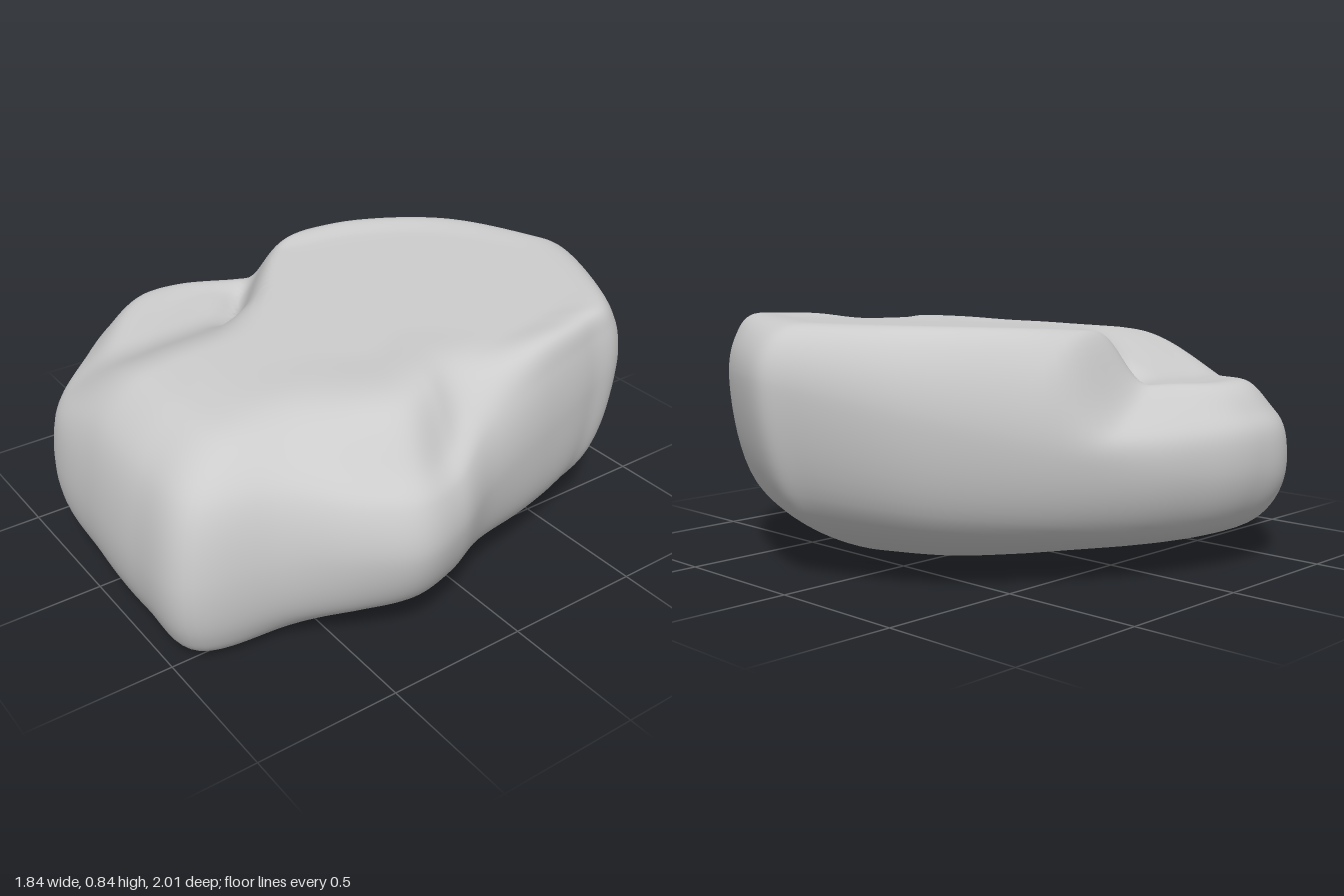
import * as THREE from 'three';
import { mergeVertices } from 'three/addons/utils/BufferGeometryUtils.js';

// Ribs around the boulder, back -> left -> front -> right:
// [x, z, y] of the widest point, [scale, y] of the top edge, [scale, y] of the bottom edge
const RIBS = [
  [0.18, -1.0, 0.64, 0.89, 0.82, 0.6, 0.05],
  [-0.02, -0.985, 0.62, 0.89, 0.82, 0.59, 0.05],
  [-0.36, -0.83, 0.55, 0.87, 0.82, 0.58, 0.05],
  [-0.62, -0.54, 0.46, 0.83, 0.81, 0.57, 0.05],
  [-0.8, -0.23, 0.38, 0.74, 0.79, 0.56, 0.05],
  [-0.88, 0.01, 0.33, 0.79, 0.77, 0.58, 0.05],
  [-0.92, 0.24, 0.31, 0.87, 0.76, 0.6, 0.05],
  [-0.89, 0.45, 0.28, 0.87, 0.76, 0.62, 0.05],
  [-0.7, 0.68, 0.26, 0.85, 0.74, 0.72, 0.03],
  [-0.42, 0.93, 0.27, 0.81, 0.71, 0.86, 0.01],
  [-0.05, 0.98, 0.3, 0.8, 0.7, 0.9, 0],
  [0.28, 0.99, 0.3, 0.8, 0.7, 0.91, 0],
  [0.55, 0.96, 0.3, 0.8, 0.69, 0.91, 0],
  [0.67, 0.69, 0.35, 0.84, 0.67, 0.83, 0.01],
  [0.82, 0.49, 0.36, 0.88, 0.62, 0.7, 0.03],
  [0.91, 0.32, 0.36, 0.88, 0.61, 0.62, 0.05],
  [0.88, 0.14, 0.38, 0.87, 0.61, 0.62, 0.05],
  [0.79, -0.06, 0.42, 0.86, 0.7, 0.68, 0.05],
  [0.73, -0.34, 0.48, 0.92, 0.79, 0.75, 0.05],
  [0.68, -0.58, 0.54, 0.94, 0.81, 0.73, 0.05],
  [0.61, -0.77, 0.6, 0.92, 0.82, 0.66, 0.05],
];
const SUB = 8, ROWS = 80;

// Smooth closed interpolation between ribs
function ribAt(s) {
  const n = RIBS.length, i = Math.floor(s), t = s - i;
  const [a, b, c, d] = [-1, 0, 1, 2].map((k) => RIBS[(i + k + n) % n]);
  return b.map((_, k) => b[k] + 0.5 * t * (c[k] - a[k]
    + t * (2 * a[k] - 5 * b[k] + 4 * c[k] - d[k] + t * (3 * (b[k] - c[k]) + d[k] - a[k]))));
}

const topPlane = (x, z) => 0.775 - 0.06 * z;

// Vertical section from the underside centre to the top centre
function section([x, z, y, ts, ty, bs, by]) {
  const at = (s, h) => new THREE.Vector3(x * s, h, z * s);
  const inner = ts * 0.8;
  return new THREE.CatmullRomCurve3([
    at(0, 0.02),
    at(bs * 0.6, by * 0.7 + 0.006),
    at(bs, by),
    at(bs + (1 - bs) * 0.74, by + (y - by) * 0.32),
    at(1, y),
    at(ts + (1 - ts) * 0.68, ty - (ty - y) * 0.32),
    at(ts, ty),
    at(inner, topPlane(x * inner, z * inner)),
    at(inner * 0.5, topPlane(x * inner * 0.5, z * inner * 0.5)),
    at(0, topPlane(0, 0)),
  ], false, 'centripetal');
}

// Sunken front-left lobe, bounded by a bent line, and the crease along its edge
function sink(p) {
  const { smoothstep } = THREE.MathUtils;
  const front = -0.61 * (p.x + 0.41) + 0.79 * (p.z - 0.13);
  const side = -(p.x + 0.61) + 0.25 * p.z;
  const d = 0.5 * (front + side + Math.hypot(front - side, 0.06));
  const along = 0.79 * (p.x + 0.45) + 0.61 * (p.z - 0.11);
  const lobe = 0.16 * smoothstep(-p.x, 0.02, 0.5) * smoothstep(d, -0.09, 0.07);
  const crease = 0.045 * Math.exp(-((d - 0.035) ** 2) / 0.004 - (along / 0.2) ** 4);
  p.y -= (lobe + crease) * smoothstep(p.y, 0.38, 0.76);
}

export function createModel() {
  const cols = RIBS.length * SUB, pos = [], index = [];
  for (let i = 0; i < cols; i++) {
    const curve = section(ribAt(i / SUB));
    for (let j = 0; j <= ROWS; j++) {
      const p = curve.getPoint(j / ROWS);
      sink(p);
      pos.push(p.x, p.y, p.z);
      if (j === ROWS) continue;
      const a = i * (ROWS + 1) + j, b = ((i + 1) % cols) * (ROWS + 1) + j;
      if (j > 0) index.push(a, b, b + 1);
      if (j < ROWS - 1) index.push(a, b + 1, a + 1);
    }
  }
  let geo = new THREE.BufferGeometry();
  geo.setAttribute('position', new THREE.Float32BufferAttribute(pos, 3));
  geo.setIndex(index);
  geo = mergeVertices(geo, 1e-5);

  // Centre on the ground
  geo.computeBoundingBox();
  const box = geo.boundingBox, c = box.getCenter(new THREE.Vector3());
  geo.translate(-c.x, -box.min.y, -c.z);
  geo.computeVertexNormals();

  const boulder = new THREE.Mesh(geo, new THREE.MeshStandardMaterial({ color: 0xcccccc }));
  boulder.name = 'boulder';
  const group = new THREE.Group();
  group.name = 'rock';
  group.add(boulder);
  return group;
}
